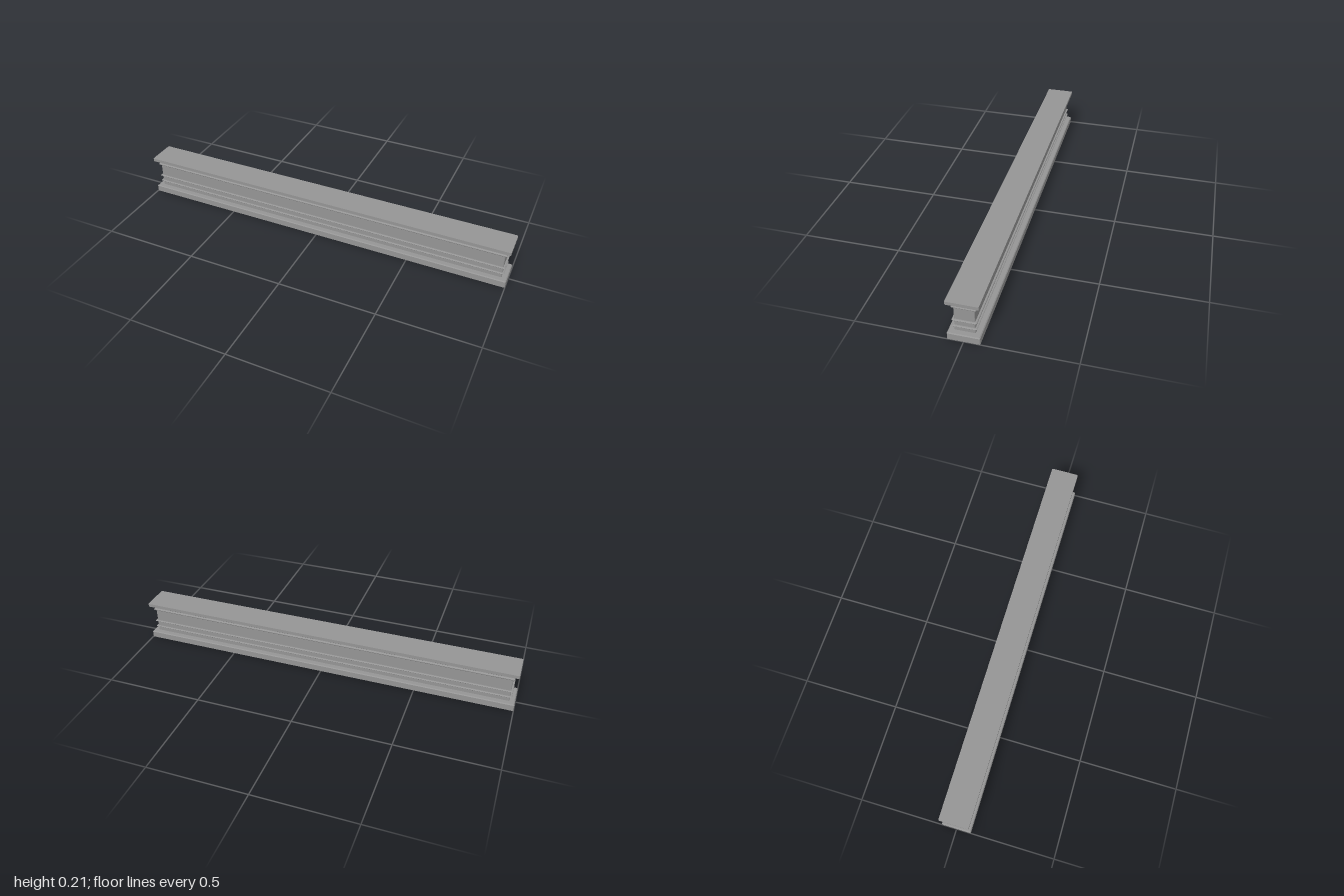
import * as THREE from 'three';

const CORE = 0.926; // extra half length along x
const BEVEL = 0.003; // small chamfer on the vertical corners

// Chamfered rectangle lying at half depth d, counter-clockwise from above
function ring(d, y) {
  const x = d + CORE, b = BEVEL;
  return [
    [x, y, d - b], [x, y, b - d], [x - b, y, -d], [b - x, y, -d],
    [-x, y, b - d], [-x, y, d - b], [b - x, y, d], [x - b, y, d],
  ];
}

// Sweeps a [halfDepth, y] profile around the rectangle, bottom to top
function moulding(name, profile, material, capTop = false) {
  const pos = [];
  const rings = profile.map(([d, y]) => ring(d, y));
  for (let i = 0; i < rings.length - 1; i++) {
    for (let j = 0; j < 8; j++) {
      const k = (j + 1) % 8;
      const a = rings[i][j], b = rings[i][k], c = rings[i + 1][k], e = rings[i + 1][j];
      pos.push(...a, ...b, ...c, ...a, ...c, ...e);
    }
  }
  if (capTop) {
    const r = rings[rings.length - 1];
    for (let j = 1; j < 7; j++) pos.push(...r[0], ...r[j], ...r[j + 1]);
  }
  const geometry = new THREE.BufferGeometry();
  geometry.setAttribute('position', new THREE.Float32BufferAttribute(pos, 3));
  geometry.computeVertexNormals();
  const mesh = new THREE.Mesh(geometry, material);
  mesh.name = name;
  return mesh;
}

// Rounded bead standing out from the wall
function bead(y0, y1) {
  const wall = 0.047, out = 0.056, h = y1 - y0;
  return [
    [wall, y0], [out - 0.004, y0], [out - 0.001, y0 + h * 0.25], [out, y0 + h * 0.5],
    [out - 0.001, y0 + h * 0.75], [out - 0.004, y1], [wall, y1],
  ];
}

export function createModel() {
  const group = new THREE.Group();
  group.name = 'mouldedBeam';
  const material = new THREE.MeshStandardMaterial({
    color: 0x959595, flatShading: true, side: THREE.DoubleSide,
  });

  group.add(
    // Plinth with a bevelled top edge, hollow from below
    moulding('base', [[0.074, 0], [0.074, 0.032], [0.07, 0.036], [0.047, 0.036]], material),
    // Plain walls between the beads
    moulding('lowerWall', [[0.047, 0.036], [0.047, 0.06]], material),
    moulding('lowerBead', bead(0.06, 0.066), material),
    moulding('middleWall', [[0.047, 0.066], [0.047, 0.094]], material),
    moulding('middleBead', bead(0.094, 0.1), material),
    moulding('upperWall', [[0.047, 0.1], [0.047, 0.166]], material),
    moulding('upperBead', bead(0.166, 0.177), material),
    // Sloping neck and flat top slab
    moulding('neck', [[0.047, 0.177], [0.074, 0.197]], material),
    moulding('topSlab', [[0.074, 0.197], [0.074, 0.214]], material, true),
  );
  return group;
}
